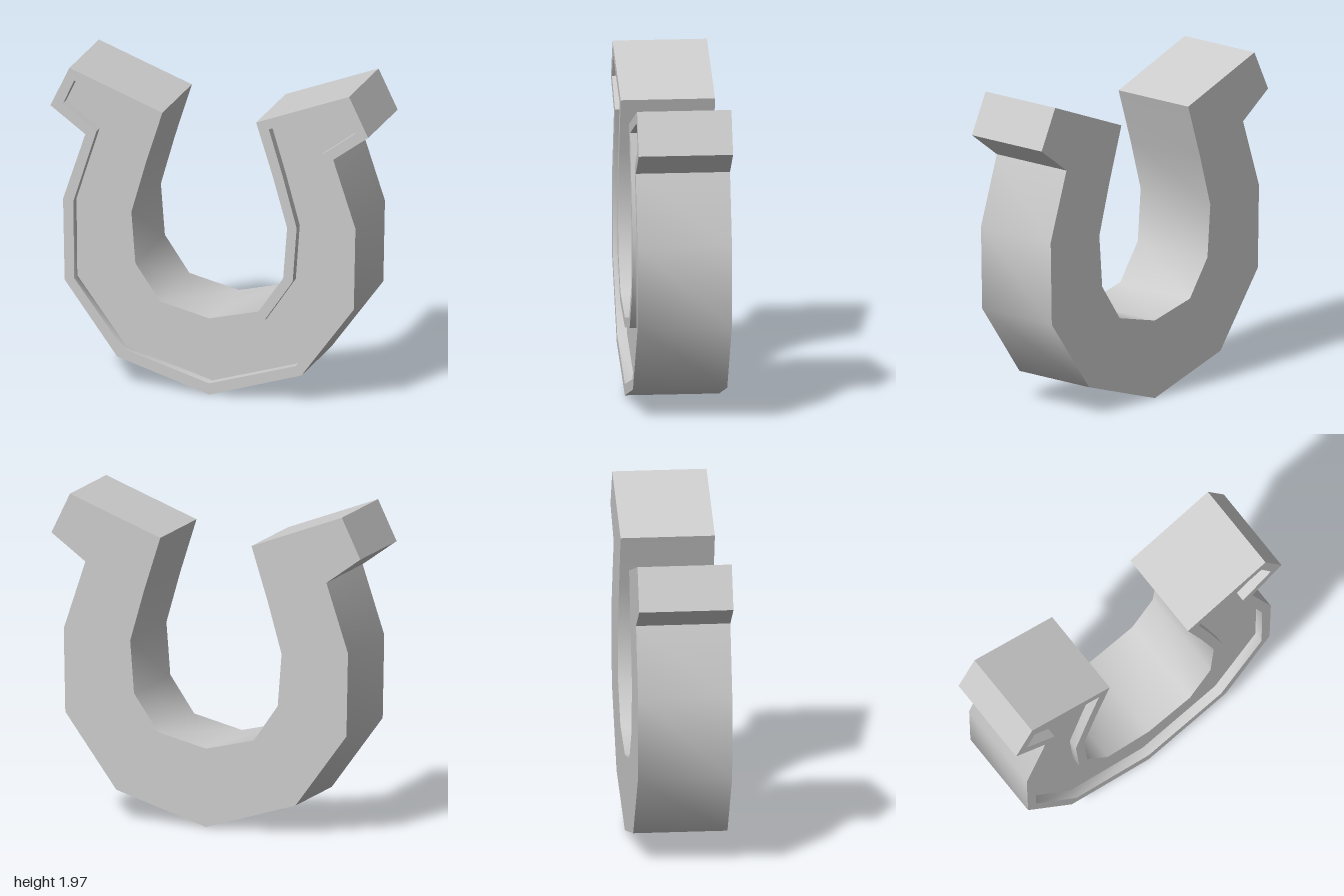
import * as THREE from 'three';
import { toCreasedNormals } from 'three/addons/utils/BufferGeometryUtils.js';

const HALF = 0.283;    // half thickness
const FLOOR = HALF - 0.06; // depth position of the recessed front panel

// Half outlines (+x side): bottom centre, up the outside, down the inside.
const outerHalf = [
  [0, 0], [0.58, 0.18], [0.91, 0.63], [0.92, 1.14], [0.78, 1.56], [1, 1.72], [0.88, 1.967],
  [0.295, 1.745], [0.4, 1.415], [0.49, 1.1], [0.465, 0.78], [0.31, 0.555], [0, 0.48],
];
const panelHalf = [
  [0, 0.07], [0.545, 0.235], [0.85, 0.645], [0.855, 1.13], [0.71, 1.585], [0.92, 1.74], [0.85, 1.89],
  [0.375, 1.71], [0.463, 1.42], [0.55, 1.105], [0.525, 0.765], [0.345, 0.5], [0, 0.42],
];

// Completes an outline with its mirrored half.
function mirror(half) {
  const left = half.slice(1, -1).reverse().map(([x, y]) => [-x, y]);
  return [...half, ...left].map(([x, y]) => new THREE.Vector2(x, y));
}

// Flat face at depth z, optionally facing the back.
function face(points, z, hole, back = false) {
  const shape = new THREE.Shape(points);
  if (hole) shape.holes.push(new THREE.Path(hole));
  const g = new THREE.ShapeGeometry(shape);
  if (back) g.rotateY(Math.PI); // outline is symmetric in x
  return g.translate(0, 0, z);
}

// Band of quads along a closed outline, smooth except at sharp corners.
function wall(points, z0, z1) {
  const pos = [];
  points.forEach((a, i) => {
    const b = points[(i + 1) % points.length];
    pos.push(a.x, a.y, z0, b.x, b.y, z0, b.x, b.y, z1);
    pos.push(a.x, a.y, z0, b.x, b.y, z1, a.x, a.y, z1);
  });
  const g = new THREE.BufferGeometry();
  g.setAttribute('position', new THREE.Float32BufferAttribute(pos, 3));
  return toCreasedNormals(g, 0.8);
}

export function createModel() {
  const group = new THREE.Group();
  group.name = 'horseshoe';
  const material = new THREE.MeshStandardMaterial({ color: 0xcccccc });
  const add = (name, geometry) => {
    const mesh = new THREE.Mesh(geometry, material);
    mesh.name = name;
    group.add(mesh);
  };

  const outer = mirror(outerHalf);
  const panel = mirror(panelHalf);

  add('sideWall', wall(outer, -HALF, HALF));
  add('backFace', face(outer, -HALF, null, true));
  add('frontRim', face(outer, HALF, panel));
  // Recess in the front
  add('recessWall', wall([...panel].reverse(), FLOOR, HALF));
  add('recessFloor', face(panel, FLOOR));

  return group;
}
